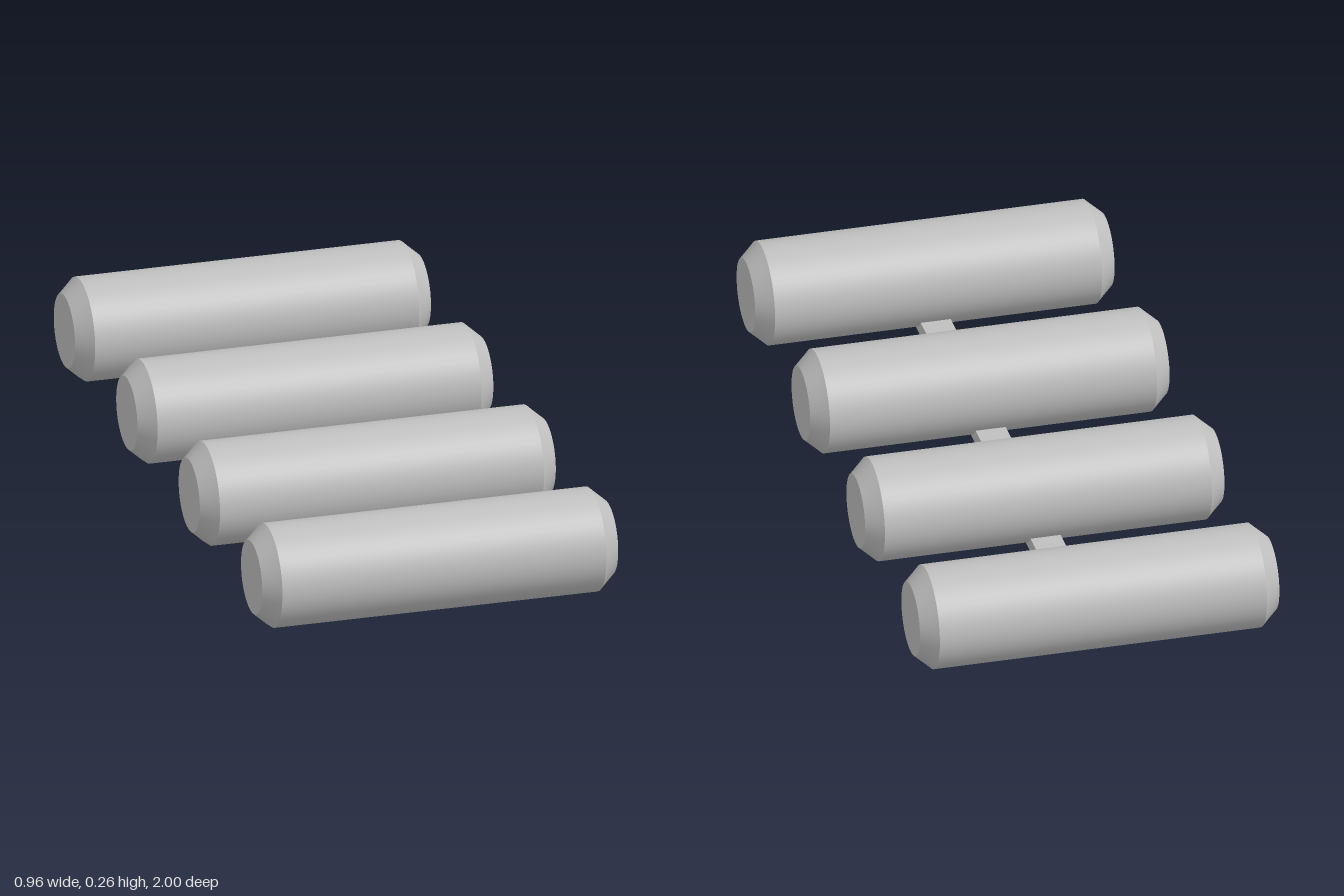
import * as THREE from 'three';
import { toCreasedNormals } from 'three/addons/utils/BufferGeometryUtils.js';

const RADIUS = 0.137;
const AXIS_Y = 0.1266; // axis sits below the radius, leaving a flat underside
const SPACING = 0.575;

// Chamfered cylinder along x, with its underside cut flat at y = 0
function rollerGeometry() {
  const half = [[0.098, 0.48], [AXIS_Y, 0.448], [RADIUS, 0.437]];
  const profile = [
    [0, -0.48],
    ...half.map(([r, x]) => [r, -x]),
    ...[...half].reverse(),
    [0, 0.48],
  ].map(([r, x]) => new THREE.Vector2(r, x));
  const geometry = new THREE.LatheGeometry(profile, 48);
  geometry.rotateZ(Math.PI / 2);
  geometry.translate(0, AXIS_Y, 0);
  const pos = geometry.attributes.position;
  for (let i = 0; i < pos.count; i++) pos.setY(i, Math.max(0, pos.getY(i)));
  return toCreasedNormals(geometry, 0.25);
}

export function createModel() {
  const model = new THREE.Group();
  model.name = 'rollerRack';
  const grey = new THREE.MeshStandardMaterial({ color: 0xbfbfbf });
  grey.name = 'light grey';

  // Four parallel rollers
  const geometry = rollerGeometry();
  for (let i = 0; i < 4; i++) {
    const roller = new THREE.Mesh(geometry, grey);
    roller.name = `roller${i + 1}`;
    roller.position.z = (i - 1.5) * SPACING;
    model.add(roller);
  }

  // Flat bar joining the rollers along the ground
  const bar = new THREE.Mesh(new THREE.BoxGeometry(0.08, 0.04, 3 * SPACING), grey);
  bar.name = 'connectingBar';
  bar.position.y = 0.02;
  model.add(bar);

  return model;
}
